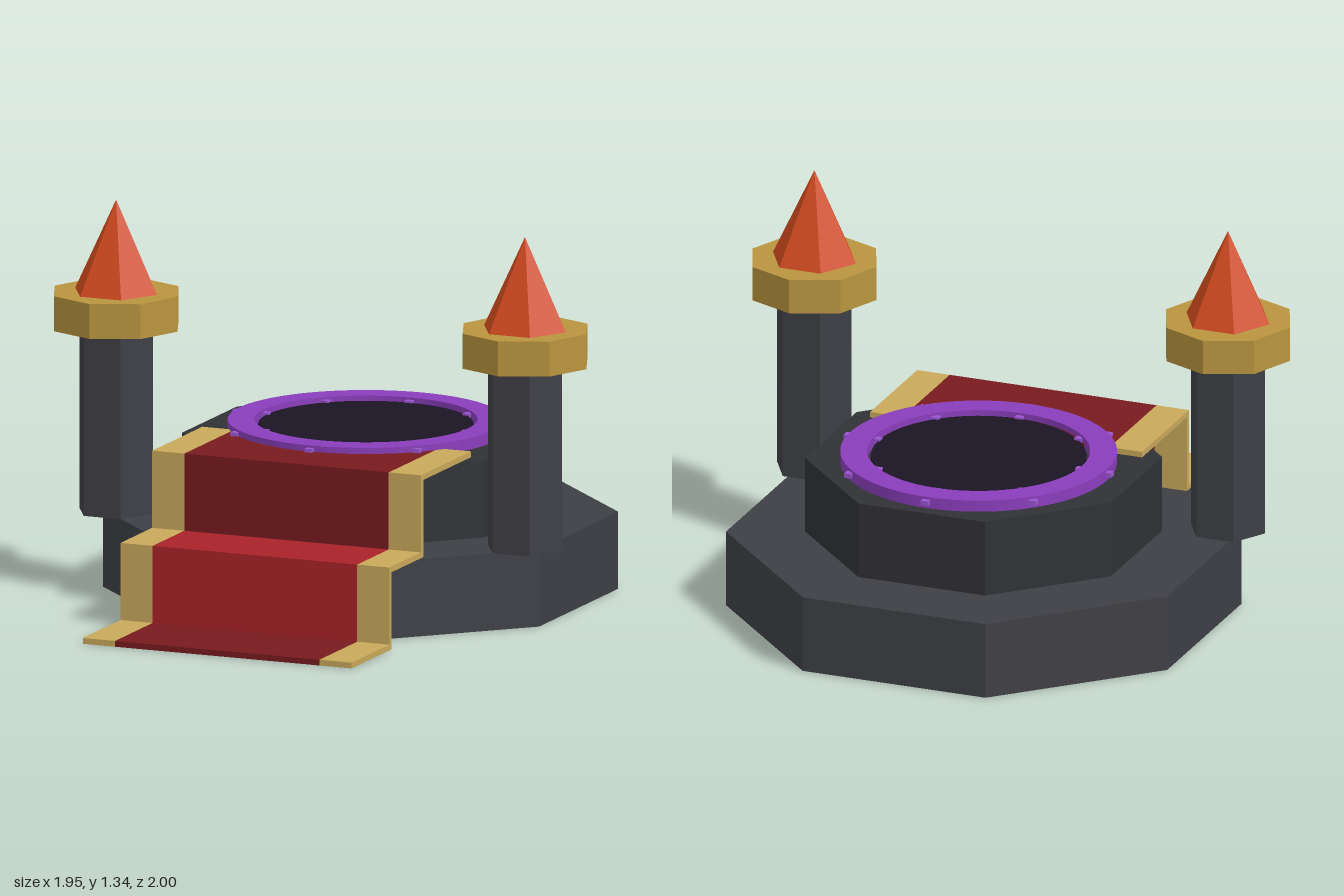
import * as THREE from 'three';

const mat = (color) => new THREE.MeshStandardMaterial({ color, flatShading: true });
const stone = mat(0x3e3f45), darkStone = mat(0x303135), brass = mat(0xb8943e), gold = mat(0xc8a85a);
const darkRed = mat(0x781a1e), red = mat(0xa82228), purple = mat(0x8a3dbb), stud = mat(0x9a55d0);
const voidDark = mat(0x1a1424), roof = mat(0xd24a1e);

function add(parent, name, geometry, material, x = 0, y = 0, z = 0) {
  const mesh = new THREE.Mesh(geometry, material);
  mesh.name = name;
  mesh.position.set(x, y, z);
  parent.add(mesh);
  return mesh;
}

// Upright prism (or cone) standing on y0
function prism(parent, name, rTop, rBottom, y0, y1, sides, turn, material, z = 0) {
  const g = new THREE.CylinderGeometry(rTop, rBottom, y1 - y0, sides).rotateY(turn);
  return add(parent, name, g, material, 0, (y0 + y1) / 2, z);
}

// Strip of stair covering: a side profile of [z, y] points, extruded from x0 to x1
function strip(parent, name, profile, x0, x1, material) {
  const shape = new THREE.Shape(profile.map(([z, y]) => new THREE.Vector2(-z, y)));
  const g = new THREE.ExtrudeGeometry(shape, { depth: x1 - x0, bevelEnabled: false });
  g.rotateY(Math.PI / 2);
  add(parent, name, g, material, x0, 0, 0);
}

export function createModel() {
  const model = new THREE.Group();
  model.name = 'portalDais';

  // Two octagonal tiers
  prism(model, 'lowerTier', 0.866, 0.866, 0, 0.265, 8, Math.PI / 8, stone, -0.2);
  prism(model, 'upperTier', 0.6, 0.6, 0.265, 0.53, 8, Math.PI / 8, darkStone, -0.2);

  // Portal: ring, dark surface and studs
  const portal = new THREE.Group();
  portal.name = 'portal';
  portal.position.z = -0.245;
  model.add(portal);
  const ring = new THREE.Shape().absarc(0, 0, 0.465, 0, Math.PI * 2);
  ring.holes.push(new THREE.Path().absarc(0, 0, 0.375, 0, Math.PI * 2, true));
  const ringGeo = new THREE.ExtrudeGeometry(ring, { depth: 0.04, bevelEnabled: false, curveSegments: 48 });
  add(portal, 'portalRing', ringGeo.rotateX(-Math.PI / 2), purple, 0, 0.531, 0);
  prism(portal, 'portalSurface', 0.362, 0.362, 0.532, 0.556, 48, 0, voidDark);
  const studGeo = new THREE.BoxGeometry(0.026, 0.016, 0.026);
  for (let i = 0; i < 8; i++) {
    const a = (i * Math.PI) / 4;
    for (const r of [0.367, 0.472]) {
      add(portal, 'ringStud', studGeo, stud, r * Math.cos(a), 0.555, r * Math.sin(a));
    }
  }

  // Stepped carpet: three runs, each with gold borders
  const runs = [
    ['upperCarpet', darkRed, [[0, 0.53], [0.4, 0.53], [0.4, 0.285], [0.42, 0.285], [0.42, 0.55], [0, 0.55]]],
    ['middleCarpet', red, [[0.4, 0.265], [0.665, 0.265], [0.665, 0.02], [0.685, 0.02], [0.685, 0.285], [0.4, 0.285]]],
    ['lowerCarpet', darkRed, [[0.665, 0], [1, 0], [1, 0.02], [0.665, 0.02]]],
  ];
  for (const [name, material, profile] of runs) {
    strip(model, name, profile, -0.375, 0.375, material);
    strip(model, name + 'BorderLeft', profile, 0.375, 0.493, gold);
    strip(model, name + 'BorderRight', profile, -0.493, -0.375, gold);
  }

  // Pair of towers
  for (const side of [1, -1]) {
    const tower = new THREE.Group();
    tower.name = side > 0 ? 'leftTower' : 'rightTower';
    tower.position.set(side * 0.75, 0, 0.135);
    prism(tower, 'towerShaft', 0.135, 0.135, 0.265, 0.9, 6, Math.PI / 6, stone);
    prism(tower, 'towerCap', 0.225, 0.225, 0.9, 1.02, 8, 0, brass);
    prism(tower, 'towerSpire', 0, 0.15, 1.02, 1.335, 6, Math.PI / 6, roof);
    model.add(tower);
  }
  return model;
}
